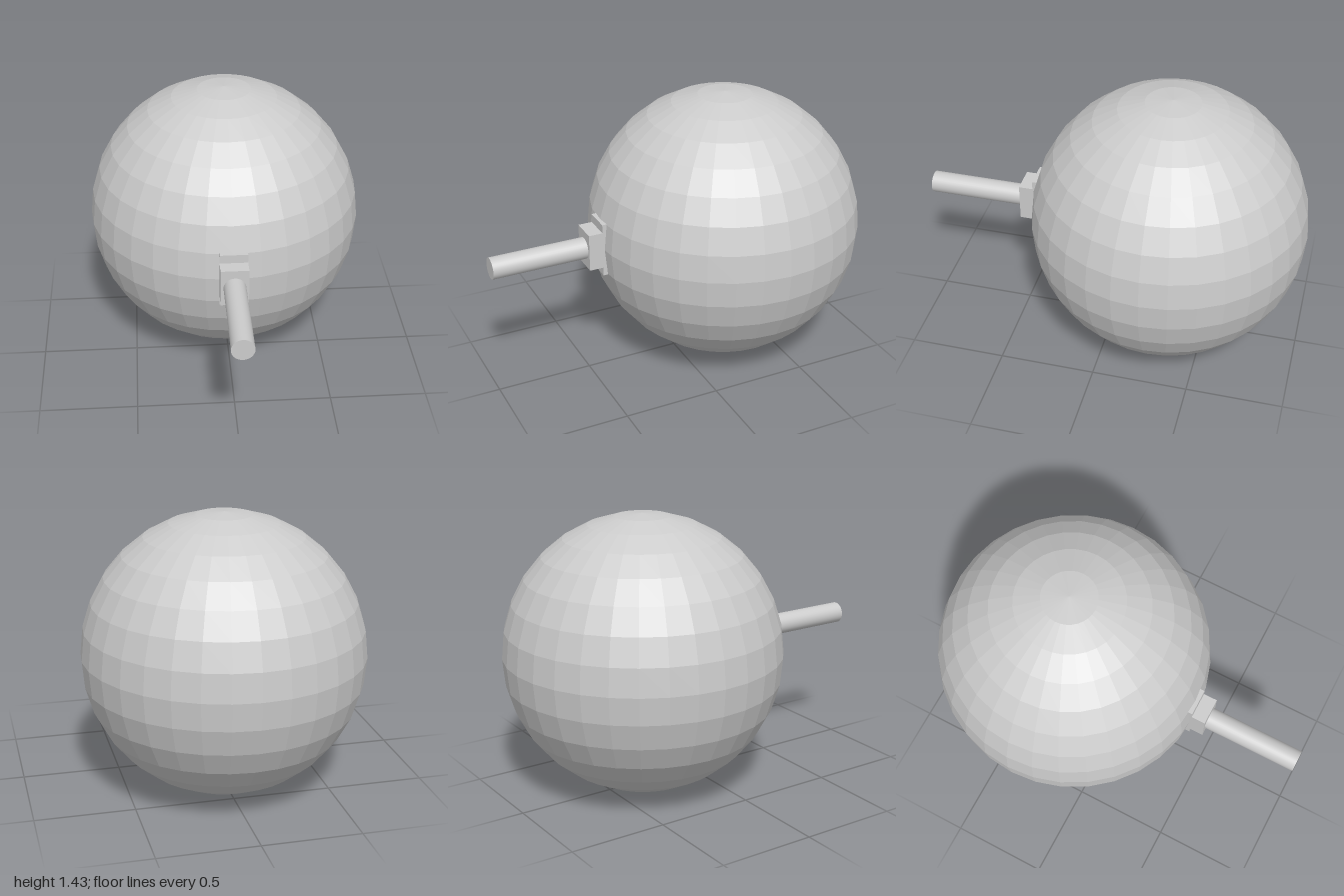
import * as THREE from 'three';

export function createModel() {
  const group = new THREE.Group();
  const flat = new THREE.MeshStandardMaterial({ color: 0xcccccc, flatShading: true });
  const smooth = new THREE.MeshStandardMaterial({ color: 0xcccccc });
  const midY = 0.716;

  const add = (name, geometry, material, z) => {
    const mesh = new THREE.Mesh(geometry, material);
    mesh.name = name;
    mesh.position.set(0, midY, z);
    group.add(mesh);
  };

  // Faceted ball
  add('ball', new THREE.SphereGeometry(0.713, 32, 16), flat, -0.286);

  // Thin plate against the ball and the thicker block on it
  add('mountPlate', new THREE.BoxGeometry(0.14, 0.286, 0.072), flat, 0.394);
  add('mountBlock', new THREE.BoxGeometry(0.14, 0.196, 0.073), flat, 0.4665);

  // Round rod pointing forward
  const rod = new THREE.CylinderGeometry(0.056, 0.056, 0.5, 32).rotateX(Math.PI / 2);
  add('rod', rod, smooth, 0.75);

  return group;
}
